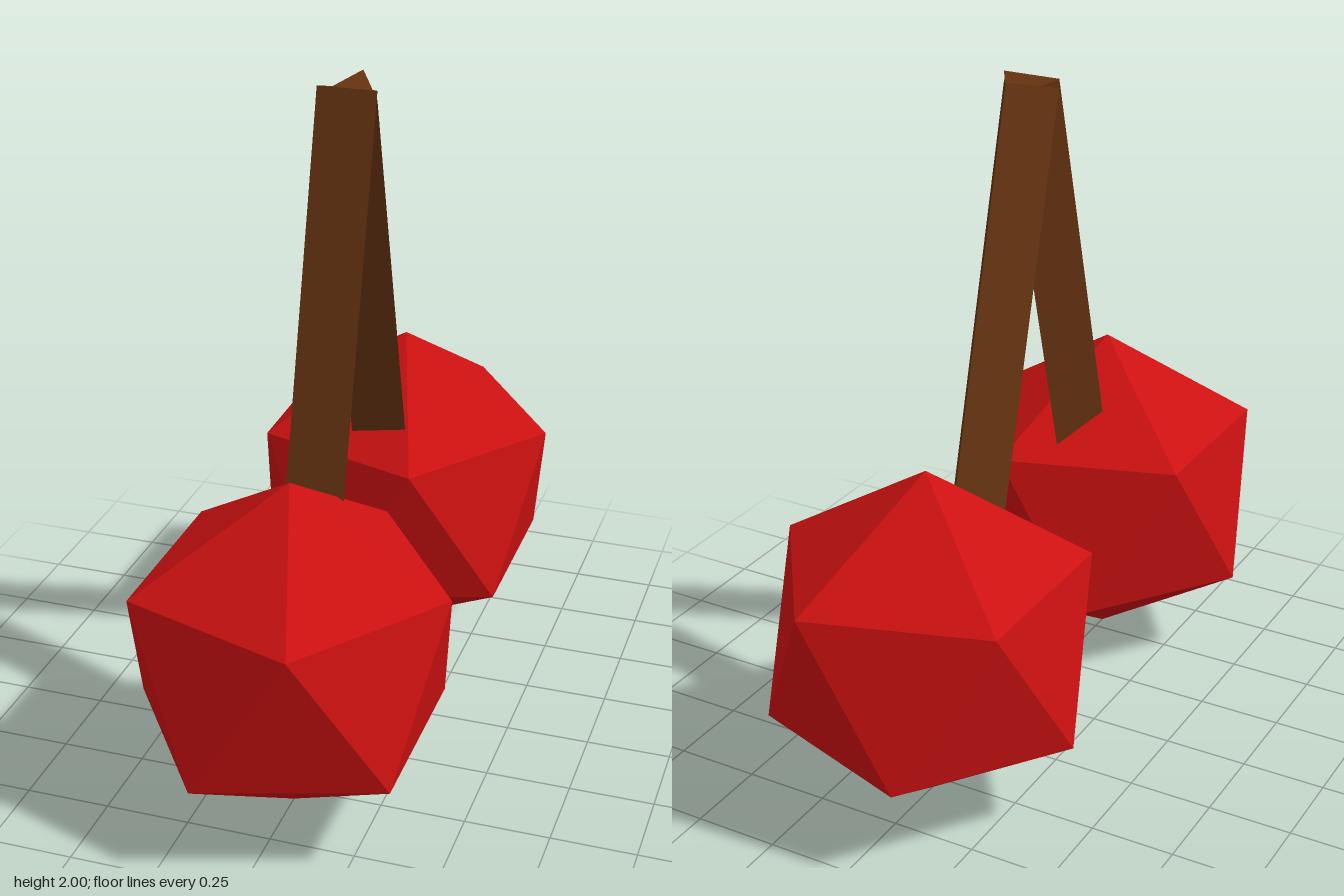
import * as THREE from 'three';

const CHERRY_RADIUS = 0.5155;
const CHERRY_Z = 0.548;
const STEM_RADIUS = 0.1;
const STEM_LENGTH = 1.3;
const STEM_TOP = 1.974;
const STEM_TILT = Math.PI / 12;

export function createModel() {
  const red = new THREE.MeshStandardMaterial({ color: 0xcc1111, flatShading: true });
  red.name = 'cherryRed';
  const brown = new THREE.MeshStandardMaterial({ color: 0x663311, flatShading: true });
  brown.name = 'stemBrown';

  // Icosahedron turned so that one corner points straight up
  const cherryGeometry = new THREE.IcosahedronGeometry(CHERRY_RADIUS, 0);
  cherryGeometry.rotateZ(-Math.atan(2 / (1 + Math.sqrt(5))));

  // Three-sided stem hanging from its top end, flat side towards +z
  const stemGeometry = new THREE.CylinderGeometry(STEM_RADIUS, STEM_RADIUS, STEM_LENGTH, 3);
  stemGeometry.rotateY(Math.PI);
  stemGeometry.translate(0, -STEM_LENGTH / 2, 0);

  const model = new THREE.Group();
  model.name = 'cherryPair';

  for (const [side, sign] of [['front', 1], ['back', -1]]) {
    const cherry = new THREE.Mesh(cherryGeometry, red);
    cherry.name = side + 'Cherry';
    cherry.position.set(0, CHERRY_RADIUS, sign * CHERRY_Z);

    // The stems lean apart from a shared top
    const stem = new THREE.Mesh(stemGeometry, brown);
    stem.name = side + 'Stem';
    stem.position.y = STEM_TOP;
    stem.rotation.x = -sign * STEM_TILT;

    model.add(cherry, stem);
  }
  return model;
}
